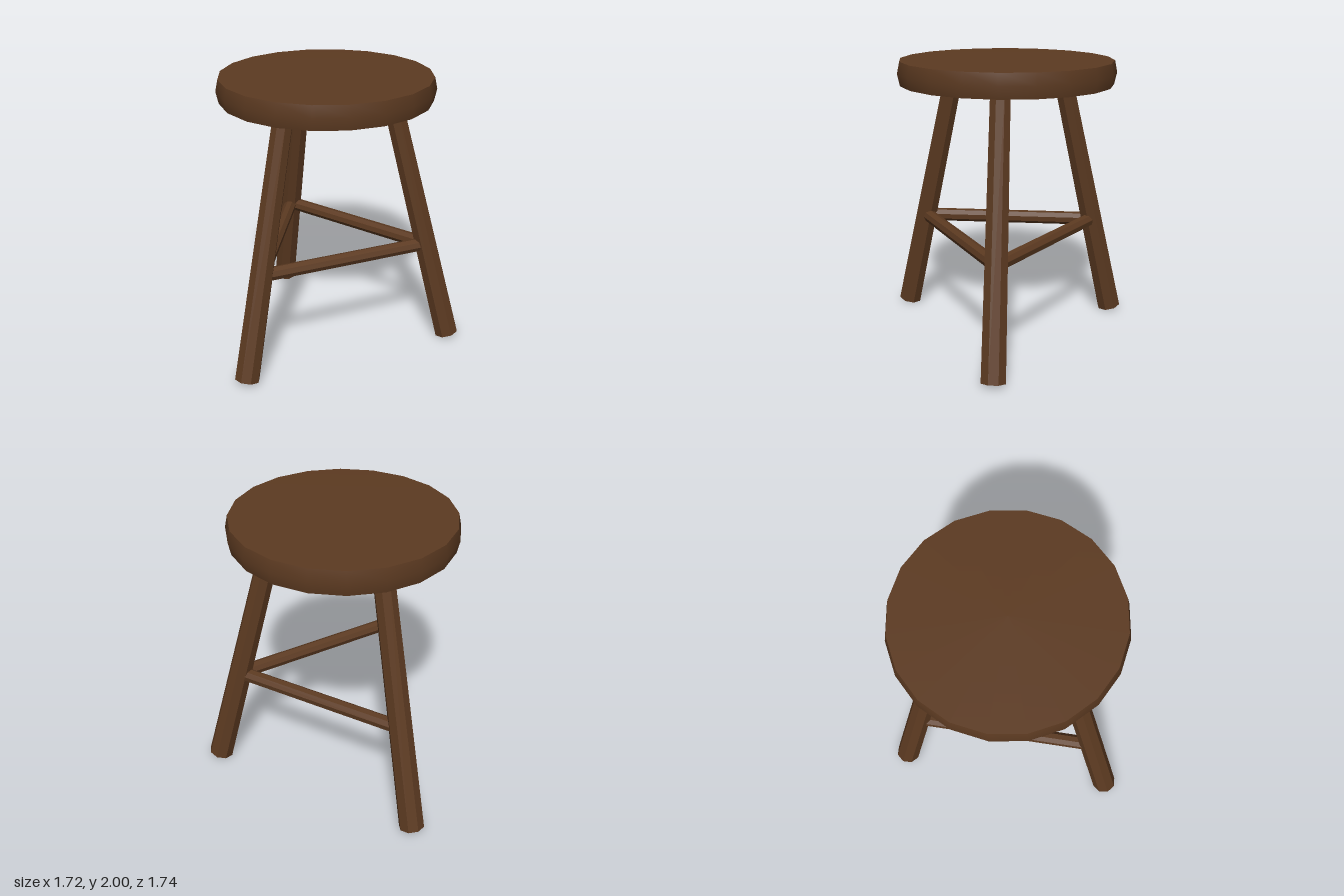
import * as THREE from 'three';
import { toCreasedNormals } from 'three/addons/utils/BufferGeometryUtils.js';

const CENTRE_X = -0.098, CENTRE_Z = -0.113;
const UP = new THREE.Vector3(0, 1, 0);

// Point at a given angle (degrees), radius and height around the stool's axis
function around(angle, radius, y) {
  const a = THREE.MathUtils.degToRad(angle);
  return new THREE.Vector3(CENTRE_X + radius * Math.cos(a), y, CENTRE_Z + radius * Math.sin(a));
}

// Octagonal rod running from one point to another
function rod(name, from, to, fromRadius, toRadius, material) {
  const dir = to.clone().sub(from);
  const mesh = new THREE.Mesh(new THREE.CylinderGeometry(toRadius, fromRadius, dir.length(), 8), material);
  mesh.position.copy(from).add(to).multiplyScalar(0.5);
  mesh.quaternion.setFromUnitVectors(UP, dir.normalize());
  mesh.name = name;
  return mesh;
}

export function createModel() {
  const stool = new THREE.Group();
  stool.name = 'stool';
  const wood = new THREE.MeshStandardMaterial({ color: 0x5c3a21 });
  const rodWood = new THREE.MeshStandardMaterial({ color: 0x5c3a21, flatShading: true });

  // Round seat: bulging rim and a very slightly domed top
  const profile = [[0, 1.825], [0.735, 1.825], [0.753, 1.908], [0.736, 1.988], [0, 2]]
    .map(([r, y]) => new THREE.Vector2(r, y));
  const seat = new THREE.Mesh(toCreasedNormals(new THREE.LatheGeometry(profile, 20), 0.6), wood);
  seat.position.set(CENTRE_X, 0, CENTRE_Z - 0.005);
  seat.name = 'seat';
  stool.add(seat);

  // Three splayed, tapering legs
  const legs = [['frontLeg', 102.3], ['backRightLeg', 222.3], ['backLeftLeg', 342.3]];
  const footRadius = 0.914, topRadius = 0.455, footY = 0.022, topY = 1.822;
  for (const [name, angle] of legs) {
    stool.add(rod(name, around(angle, footRadius, footY), around(angle, topRadius, topY), 0.088, 0.071, rodWood));
  }

  // Stretchers joining the leg axes in a triangle
  const y = 0.755;
  const radius = THREE.MathUtils.mapLinear(y, footY, topY, footRadius, topRadius);
  legs.forEach(([, angle], i) => {
    const next = legs[(i + 1) % 3][1];
    stool.add(rod('stretcher' + (i + 1), around(angle, radius, y), around(next, radius, y), 0.048, 0.048, rodWood));
  });

  return stool;
}
